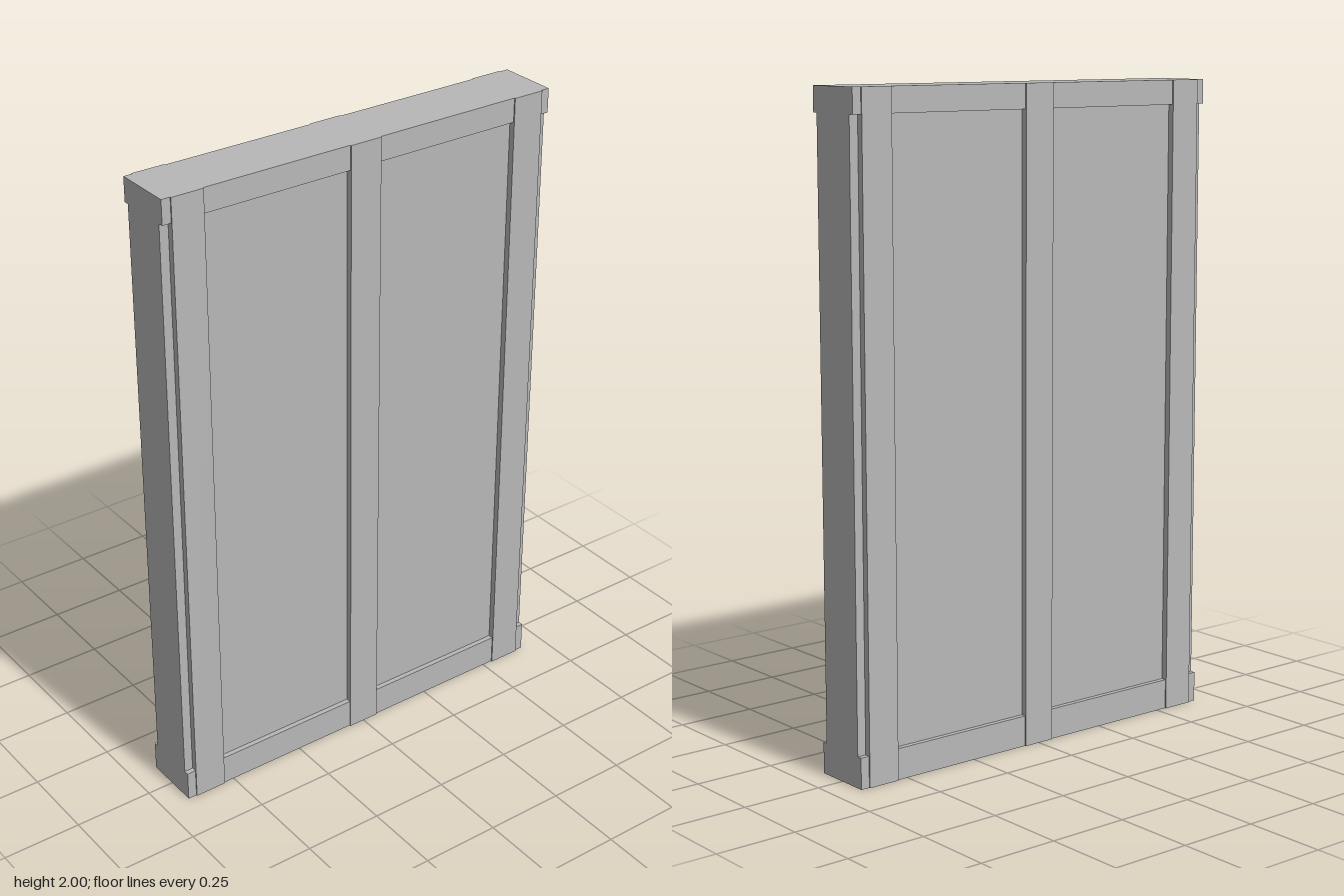
import * as THREE from 'three';

export function createModel() {
  const model = new THREE.Group();
  model.name = 'panelledDoor';
  const paint = new THREE.MeshStandardMaterial({ color: 0xb8b8b8 });
  paint.name = 'greyPaint';

  const box = (name, x0, x1, y0, y1, z0, z1) => {
    const mesh = new THREE.Mesh(new THREE.BoxGeometry(x1 - x0, y1 - y0, z1 - z0), paint);
    mesh.position.set((x0 + x1) / 2, (y0 + y1) / 2, (z0 + z1) / 2);
    mesh.name = name;
    model.add(mesh);
  };

  const W = 0.665, H = 2;
  const railBottom = 0.095, railTop = 1.925;
  const panelZ = 0.078, railZ = 0.094, stileZ = 0.098;

  // Core: its faces are the sunken panels and the rebated side edges
  box('panelCore', -W, W, railBottom, railTop, -panelZ, panelZ);

  // Rails wrap the full width at the bottom and top
  box('bottomRail', -W, W, 0, railBottom, -railZ, railZ);
  box('topRail', -W, W, railTop, H, -railZ, railZ);

  // Stiles stand slightly proud of the rails on both faces
  const stiles = [['rightStile', -0.637, -0.535], ['middleStile', -0.052, 0.052], ['leftStile', 0.535, 0.637]];
  for (const [name, x0, x1] of stiles) {
    box(name + 'Front', x0, x1, 0, H, panelZ - 0.01, stileZ);
    box(name + 'Back', x0, x1, 0, H, -stileZ, -panelZ + 0.01);
  }
  return model;
}
